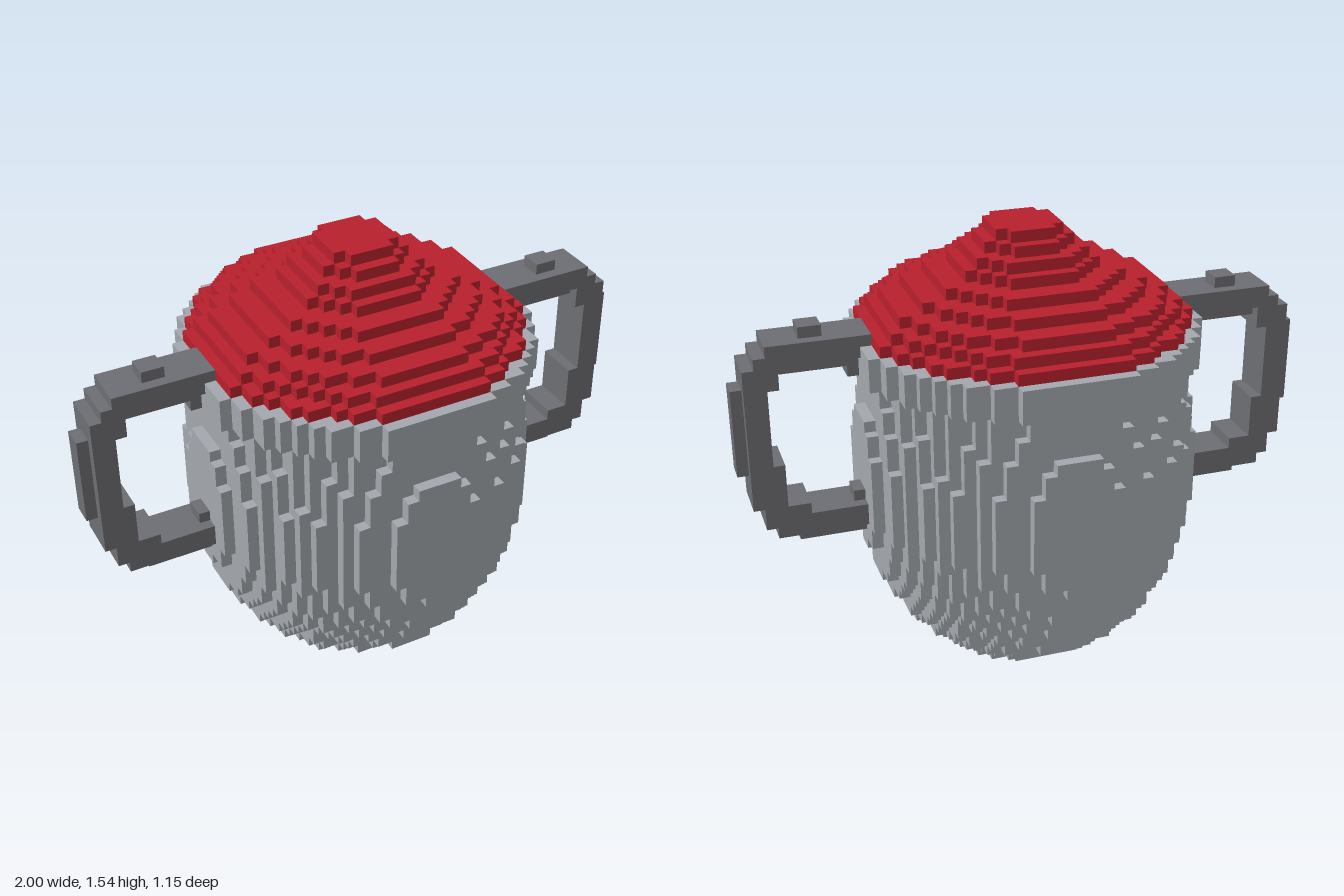
import * as THREE from 'three';

const S = 2 / 52; // edge of one cube

// Disc radius, in cubes, of each layer from the foot to the rim
const BODY = [
  7.2, 8.4, 9.4, 10.65, 11.4, 12.1, 12.7, 13.2, 13.65, 14, 14.3,
  14.56, 14.75, 14.88, 15, 15.05, 15.05, 15.05, 15.05, 15, 15, 14.9, 14.75, 14.6,
  14.4, 14.3, 14.2, 14.2, 15.3, 15.3, 15.3,
];
const LID = [14.3, 13.3, 12.3, 10.3, 8.3, 6.2, 5.2, 4.2, 3.1];

// Handle outline: [x from, x to, y from, y to, half depth], in cubes, ends excluded
const HANDLE = [
  [14, 23, 30, 32, 2], [15, 22, 29, 30, 1], [18, 20, 32, 33, 1], // top bar and thumb bump
  [15, 16, 28, 29, 1], [22, 23, 28, 30, 2],
  [23, 24, 15, 31, 2], [24, 25, 17, 30, 2], [25, 26, 20, 28, 1], // outer grip
  [22, 23, 14, 21, 2], [20, 22, 14, 17, 2],
  [14, 20, 14, 16, 2], [14, 21, 13, 14, 1], [15, 16, 16, 17, 1], // lower bar
];

// Cubes are addressed by their low corner; x and z run through zero at the centre
function inDiscs(radii, base, x, y, z) {
  const r = radii[y - base];
  return r !== undefined && (x + 0.5) ** 2 + (z + 0.5) ** 2 <= r * r;
}

function inHandle(x, y, z) {
  const ax = Math.abs(x + 0.5);
  const az = Math.abs(z + 0.5);
  return HANDLE.some(([x0, x1, y0, y1, d]) => ax > x0 && ax < x1 && y >= y0 && y < y1 && az < d);
}

function partAt(x, y, z) {
  if (inDiscs(BODY, 0, x, y, z)) return 'body';
  if (inDiscs(LID, 31, x, y, z)) return 'lid';
  if (inHandle(x, y, z)) return x >= 0 ? 'leftHandle' : 'rightHandle';
  return null;
}

// Adds one cube face; corners run counter-clockwise seen from outside
function addFace(positions, cell, axis, side) {
  const b = (axis + 1) % 3;
  const c = (axis + 2) % 3;
  const corners = [[0, 0], [1, 0], [1, 1], [0, 1]].map(([u, v]) => {
    const p = [...cell];
    p[axis] += side > 0 ? 1 : 0;
    p[b] += u;
    p[c] += v;
    return p.map((n) => n * S);
  });
  const order = side > 0 ? [0, 1, 2, 0, 2, 3] : [0, 2, 1, 0, 3, 2];
  order.forEach((i) => positions.push(...corners[i]));
}

export function createModel() {
  const steel = new THREE.MeshStandardMaterial({ color: 0xa3a8ae });
  steel.name = 'light grey';
  const dark = new THREE.MeshStandardMaterial({ color: 0x6d6e73 });
  dark.name = 'dark grey';
  const red = new THREE.MeshStandardMaterial({ color: 0xb8202d });
  red.name = 'red';

  const materials = { body: steel, lid: red, leftHandle: dark, rightHandle: dark };
  const faces = { body: [], lid: [], leftHandle: [], rightHandle: [] };

  // Keep only cube faces open to the air
  for (let x = -26; x < 26; x++) {
    for (let y = 0; y < 40; y++) {
      for (let z = -16; z < 16; z++) {
        const part = partAt(x, y, z);
        if (!part) continue;
        for (let axis = 0; axis < 3; axis++) {
          for (const side of [-1, 1]) {
            const next = [x, y, z];
            next[axis] += side;
            if (!partAt(...next)) addFace(faces[part], [x, y, z], axis, side);
          }
        }
      }
    }
  }

  const model = new THREE.Group();
  model.name = 'liddedCup';
  for (const [name, positions] of Object.entries(faces)) {
    const geometry = new THREE.BufferGeometry();
    geometry.setAttribute('position', new THREE.Float32BufferAttribute(positions, 3));
    geometry.computeVertexNormals();
    const mesh = new THREE.Mesh(geometry, materials[name]);
    mesh.name = name;
    model.add(mesh);
  }
  return model;
}
